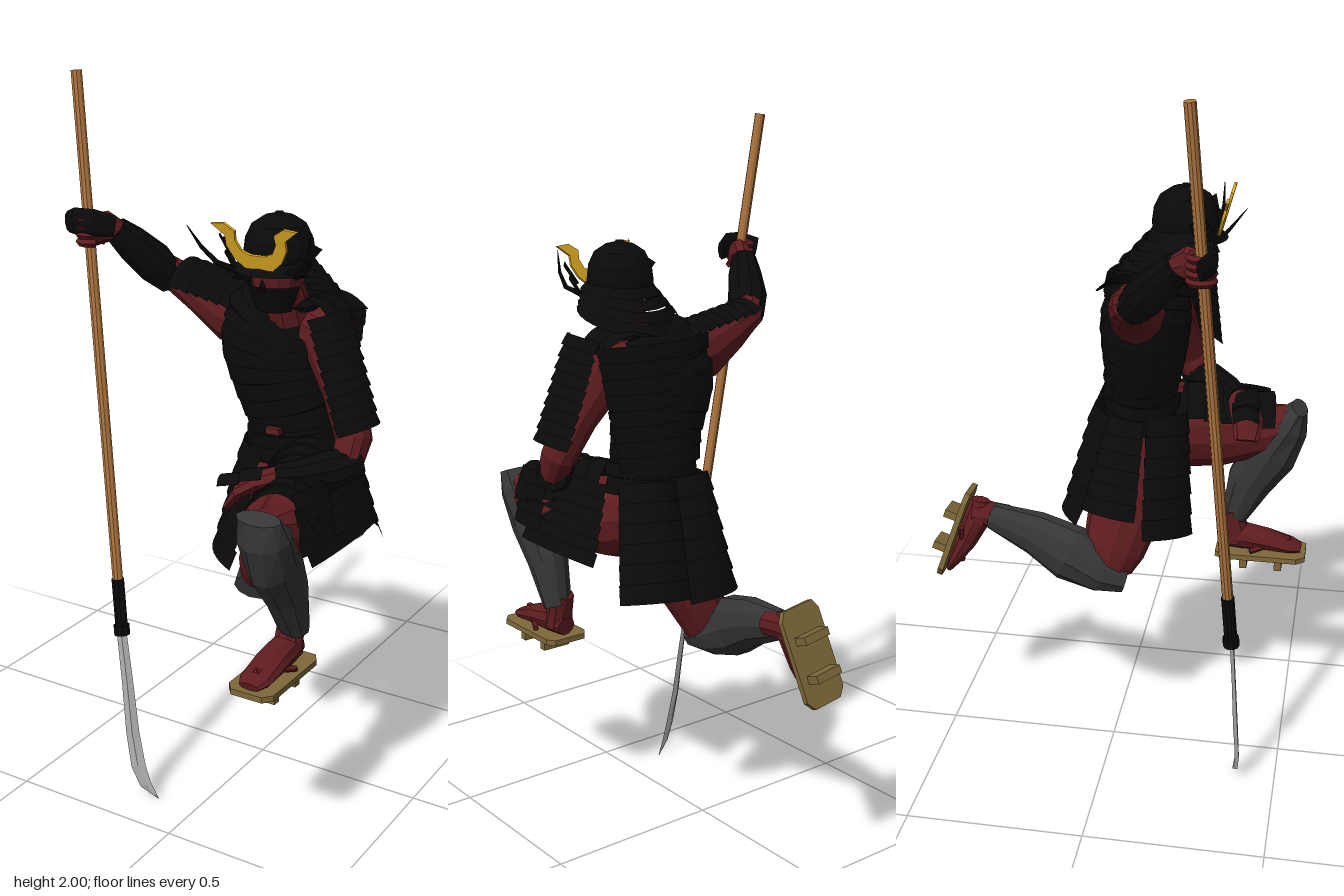
import * as THREE from 'three';

const mat = (color) => new THREE.MeshStandardMaterial({ color, flatShading: true, side: THREE.DoubleSide });
const BLACK = mat(0x0a0a0a), RED = mat(0x5e1c20), GREY = mat(0x363636), GOLD = mat(0xe0ab22);
const WOOD = mat(0xb0763f), SANDAL = mat(0x80693a), STEEL = mat(0xb0b0b0);
const V = (a) => new THREE.Vector3(...a);

function add(parent, name, geo, material, pos = [0, 0, 0], rot = [0, 0, 0]) {
  const m = new THREE.Mesh(geo, material);
  m.name = name;
  m.position.set(...pos);
  m.rotation.set(...rot);
  parent.add(m);
  return m;
}

function build(pos, idx) {
  const g = new THREE.BufferGeometry();
  g.setAttribute('position', new THREE.Float32BufferAttribute(pos, 3));
  g.setIndex(idx);
  g.computeVertexNormals();
  return g;
}

// Closed loft through elliptical stations [x, y, z, radiusAlongRef, radiusAcross]
function loft(st, segs = 10, ref = [1, 0, 0]) {
  const pos = [], idx = [], n = st.length, c = st.map((s) => V(s.slice(0, 3)));
  for (let i = 0; i < n; i++) {
    const t = c[Math.min(i + 1, n - 1)].clone().sub(c[Math.max(i - 1, 0)]).normalize();
    const u = V(ref).addScaledVector(t, -V(ref).dot(t)).normalize();
    const v = t.clone().cross(u);
    for (let j = 0; j < segs; j++) {
      const a = (j / segs) * Math.PI * 2;
      const p = c[i].clone().addScaledVector(u, st[i][3] * Math.cos(a)).addScaledVector(v, (st[i][4] ?? st[i][3]) * Math.sin(a));
      pos.push(p.x, p.y, p.z);
    }
  }
  pos.push(...c[0].toArray(), ...c[n - 1].toArray());
  for (let j = 0; j < segs; j++) {
    const k = (j + 1) % segs, e = (n - 1) * segs;
    for (let i = 0; i < n - 1; i++) {
      const a = i * segs + j, b = i * segs + k;
      idx.push(a, b, b + segs, a, b + segs, a + segs);
    }
    idx.push(n * segs, k, j, n * segs + 1, e + j, e + k);
  }
  return build(pos, idx);
}

// Resample stations into overlapping tiers, each lower edge a little wider
function tiers(st, n, flare = 1.03) {
  const at = (t) => {
    const f = Math.min(t, 0.9999) * (st.length - 1), i = Math.floor(f);
    return st[i].map((a, k) => a + (st[i + 1][k] - a) * (f - i));
  };
  const out = [];
  for (let k = 0; k < n; k++) {
    [[k / n, flare], [(k + 0.97) / n, 1]].forEach(([t, s]) => {
      const p = at(t);
      out.push([p[0], p[1], p[2], p[3] * s, p[4] * s]);
    });
  }
  return out;
}

// Curved lamellar plate from a to b, rows stepped like overlapping slats
function lamellae(a, b, wa, wb, out, bulge, rows) {
  const A = V(a), d = V(b).sub(A), o = V(out);
  o.addScaledVector(d, -o.dot(d) / d.lengthSq()).normalize();
  const side = d.clone().normalize().cross(o), pos = [], idx = [], N = 8;
  for (let r = 0; r < rows * 2; r++) {
    const t = Math.ceil(r / 2) / rows;
    for (let j = 0; j <= N; j++) {
      const s = (j / N) * 2 - 1;
      const p = A.clone().addScaledVector(d, t).addScaledVector(side, (s * (wa + (wb - wa) * t)) / 2)
        .addScaledVector(o, bulge * (1 - s * s) + (r % 2) * 0.008);
      pos.push(p.x, p.y, p.z);
      if (r && j) {
        const q = r * (N + 1) + j;
        idx.push(q - N - 2, q - 1, q, q - N - 2, q, q - N - 1);
      }
    }
  }
  return build(pos, idx);
}

function rod(parent, name, a, b, r, material) {
  const d = V(b).sub(V(a));
  const m = add(parent, name, new THREE.CylinderGeometry(r, r, d.length(), 10), material);
  m.position.copy(V(a)).addScaledVector(d, 0.5);
  m.quaternion.setFromUnitVectors(new THREE.Vector3(0, 1, 0), d.normalize());
}

// Foot on a raised wooden sandal, toes towards +z
function foot(name) {
  const g = new THREE.Group();
  g.name = name;
  const s = new THREE.Shape([[-0.05, -0.135], [0.05, -0.135], [0.066, -0.11], [0.066, 0.11], [0.045, 0.135], [-0.045, 0.135], [-0.066, 0.11], [-0.066, -0.11]].map((p) => new THREE.Vector2(...p)));
  const sole = new THREE.ExtrudeGeometry(s, { depth: 0.016, bevelEnabled: false }).rotateX(Math.PI / 2);
  add(g, 'sandalSole', sole, SANDAL, [0, 0.008, 0]);
  for (const z of [-0.05, 0.055]) add(g, 'sandalTooth', new THREE.BoxGeometry(0.085, 0.042, 0.022), SANDAL, [0, -0.026, z]);
  add(g, 'footSock', loft([[0, 0.035, -0.115, 0.028, 0.028], [0, 0.045, -0.06, 0.042, 0.042], [0, 0.037, 0.02, 0.046, 0.032], [0, 0.024, 0.09, 0.045, 0.018], [0, 0.018, 0.12, 0.03, 0.01]]), RED);
  add(g, 'ankle', loft([[0, 0.13, -0.095, 0.036, 0.036], [0, 0.085, -0.085, 0.037, 0.037], [0, 0.03, -0.07, 0.04, 0.045]]), RED);
  for (const x of [-1, 1]) rod(g, 'sandalStrap', [x * 0.05, 0.015, -0.03], [0, 0.045, 0.085], 0.008, RED);
  return g;
}

function polearm() {
  const g = new THREE.Group();
  g.name = 'polearm';
  const top = V([-0.41, 1.998, 0.246]), low = V([-0.235, 0.5, 0.368]);
  const at = (t) => top.clone().lerp(low, t).toArray();
  rod(g, 'shaft', at(0), at(1), 0.015, WOOD);
  rod(g, 'shaftGrip', at(0.9), at(1), 0.018, BLACK);
  rod(g, 'guard', at(0.988), at(1.006), 0.023, BLACK);
  add(g, 'blade', loft([[-0.235, 0.5, 0.37, 0.014, 0.006], [-0.215, 0.36, 0.378, 0.016, 0.006], [-0.196, 0.2, 0.386, 0.019, 0.007], [-0.176, 0.1, 0.391, 0.021, 0.006], [-0.155, 0.045, 0.388, 0.017, 0.004], [-0.12, 0.003, 0.376, 0.001, 0.001]], 4, [1, 0, -0.4]), STEEL);
  return g;
}

// Helmet, mask and head
function helmetedHead() {
  const g = new THREE.Group();
  g.name = 'head';
  g.position.set(0.15, 0, 0.17);
  add(g, 'neck', loft([[0, 1.4, -0.05, 0.065], [0, 1.5, -0.01, 0.055]]), RED);
  add(g, 'face', loft([[0, 1.435, 0.03, 0.035, 0.035], [0, 1.46, 0.015, 0.055, 0.06], [0, 1.51, 0.005, 0.066, 0.073], [0, 1.57, 0, 0.066, 0.072]], 12), RED);
  add(g, 'faceMask', new THREE.CylinderGeometry(0.077, 0.05, 0.07, 10, 1, true, -1.4, 2.8), BLACK, [0, 1.465, 0.014]);
  add(g, 'maskNose', new THREE.ConeGeometry(0.014, 0.03, 4), BLACK, [0, 1.505, 0.083]);
  const dome = [[0.09, 0], [0.092, 0.02], [0.087, 0.06], [0.07, 0.095], [0.038, 0.116], [0.014, 0.121], [0.01, 0.126], [0, 0.127]];
  add(g, 'helmetBowl', new THREE.LatheGeometry(dome.map((p) => new THREE.Vector2(...p)), 16), BLACK, [0, 1.55, 0]);
  add(g, 'visor', new THREE.CylinderGeometry(0.088, 0.118, 0.03, 12, 1, true, -1.2, 2.4), BLACK, [0, 1.546, 0]);
  // Neck guard flaring out and back, open at the face
  for (let i = 0; i < 4; i++) {
    const r = 0.088 + i * 0.012;
    add(g, 'neckGuardRow', new THREE.CylinderGeometry(r, r + 0.02, 0.026, 20, 1, true, 0.9, Math.PI * 2 - 1.8), BLACK, [0, 1.552 - i * 0.021, -0.015 * i], [-0.1 - i * 0.06, 0, 0]);
  }
  for (const s of [-1, 1]) {
    add(g, 'turnedBackPlate', lamellae([s * 0.08, 1.535, 0.07], [s * 0.13, 1.615, 0.045], 0.06, 0.045, [s, -0.4, 0.4], 0.01, 2), BLACK);
  }
  // Gold crescent crest, half outline mirrored
  const half = [[0.04, -0.012], [0.068, 0.012], [0.086, 0.045], [0.086, 0.072], [0.122, 0.1], [0.085, 0.104], [0.056, 0.085], [0.058, 0.06], [0.045, 0.035], [0.02, 0.025]];
  const outline = [...half, ...half.map(([x, y]) => [-x, y]).reverse()];
  const crest = new THREE.ExtrudeGeometry(new THREE.Shape(outline.map((p) => new THREE.Vector2(...p))), { depth: 0.008, bevelEnabled: false });
  add(g, 'crest', crest, GOLD, [0, 1.56, 0.095], [0.25, 0, 0]);
  // Slender horns
  add(g, 'rightHorn', loft([[-0.085, 1.53, 0.065, 0.008], [-0.125, 1.55, 0.095, 0.007], [-0.145, 1.595, 0.135, 0.005], [-0.157, 1.655, 0.18, 0.001]], 6), BLACK);
  add(g, 'leftHorn', loft([[0.085, 1.53, 0.065, 0.008], [0.12, 1.55, 0.085, 0.007], [0.135, 1.59, 0.09, 0.005], [0.14, 1.65, 0.09, 0.001]], 6), BLACK);
  return g;
}

function torso() {
  const g = new THREE.Group();
  g.name = 'torso';
  const st = [[0.14, 1.0, 0.055, 0.135, 0.1], [0.13, 1.1, 0.06, 0.12, 0.1], [0.105, 1.2, 0.068, 0.138, 0.115], [0.09, 1.3, 0.072, 0.163, 0.125], [0.11, 1.38, 0.08, 0.16, 0.115], [0.135, 1.445, 0.09, 0.095, 0.085]];
  add(g, 'cuirass', loft(tiers(st, 11), 18), BLACK);
  add(g, 'backPlate', lamellae([0.155, 1.425, 0.015], [0.14, 1.08, 0.01], 0.35, 0.25, [0.1, 0, -1], 0.055, 8), BLACK);
  add(g, 'leftShoulderStrap', lamellae([0.245, 1.425, -0.01], [0.225, 1.425, 0.15], 0.15, 0.11, [0.2, 1, 0], 0.022, 3), BLACK);
  add(g, 'collar', new THREE.TorusGeometry(0.07, 0.018, 6, 14), BLACK, [0.145, 1.435, 0.105], [Math.PI / 2, 0, 0]);
  add(g, 'belt', loft([[0.135, 1.05, 0.057, 0.137, 0.11], [0.132, 1.085, 0.06, 0.132, 0.108]], 18), BLACK);
  add(g, 'beltKnot', new THREE.BoxGeometry(0.04, 0.018, 0.02), RED, [0.135, 1.095, 0.168]);
  add(g, 'pelvis', loft([[0.15, 0.86, 0.03, 0.1, 0.085], [0.145, 0.94, 0.04, 0.13, 0.09], [0.14, 1.03, 0.05, 0.12, 0.085]], 12), RED);
  // Skirt plates: top, bottom, widths, outward direction, bulge
  const skirt = [
    ['rightFrontSkirt', [0.06, 1.04, 0.14], [-0.03, 0.7, 0.155], 0.15, 0.18, [-0.75, 0, 0.75], 0.025],
    ['rightSideSkirt', [0.015, 1.04, 0.02], [-0.04, 0.76, -0.01], 0.14, 0.17, [-1, 0, -0.3], 0.02],
    ['backRightSkirt', [0.07, 1.05, -0.025], [0.055, 0.72, -0.115], 0.16, 0.2, [-0.2, 0, -1], 0.042],
    ['backLeftSkirt', [0.21, 1.05, -0.025], [0.245, 0.74, -0.105], 0.16, 0.2, [0.35, 0, -1], 0.042],
    ['leftThighPlate', [0.21, 1.0, 0.11], [0.285, 0.945, 0.41], 0.2, 0.185, [0.1, 1, 0], 0.085],
    ['leftSideSkirt', [0.3, 1.045, 0.19], [0.358, 0.83, 0.19], 0.32, 0.36, [1, 0.3, 0], 0.012],
  ];
  for (const [name, a, b, wa, wb, out, bulge] of skirt) add(g, name, lamellae(a, b, wa, wb, out, bulge, 6), BLACK);
  // Outer front corner of the thigh armour
  add(g, 'leftThighCorner', lamellae([0.335, 1.035, 0.335], [0.362, 0.875, 0.335], 0.15, 0.155, [1, 0.2, 0.1], 0.01, 4), BLACK);
  return g;
}

function arms() {
  const g = new THREE.Group();
  g.name = 'arms';
  const up = [0, 1, 0];
  // Raised right arm
  add(g, 'rightUpperArm', loft([[0.06, 1.35, 0.07, 0.085, 0.08], [-0.05, 1.37, 0.068, 0.085, 0.075], [-0.15, 1.415, 0.07, 0.06, 0.06], [-0.225, 1.45, 0.08, 0.046, 0.046], [-0.27, 1.49, 0.12, 0.04, 0.04]], 12, up), RED);
  add(g, 'rightShoulderPlate', lamellae([0.05, 1.405, 0.065], [-0.205, 1.453, 0.07], 0.18, 0.17, [0, 1, 0.2], 0.04, 8), BLACK);
  add(g, 'rightBracer', loft([[-0.235, 1.44, 0.085, 0.044], [-0.265, 1.49, 0.125, 0.056], [-0.3, 1.55, 0.18, 0.048], [-0.325, 1.59, 0.215, 0.036]], 10), BLACK);
  add(g, 'rightHand', loft([[-0.32, 1.585, 0.21, 0.03, 0.03], [-0.335, 1.6, 0.24, 0.042, 0.025], [-0.35, 1.595, 0.275, 0.042, 0.03], [-0.385, 1.59, 0.285, 0.03, 0.02]], 8, up), RED);
  for (let i = 0; i < 4; i++) add(g, 'rightFinger', new THREE.TorusGeometry(0.03, 0.011, 5, 10, 5), RED, [-0.366 + i * 0.002, 1.625 - i * 0.02, 0.276], [Math.PI / 2, 0, 0.6]);
  add(g, 'rightHandPlate', loft([[-0.285, 1.61, 0.27, 0.028, 0.01], [-0.33, 1.62, 0.3, 0.036, 0.012], [-0.385, 1.62, 0.306, 0.036, 0.012], [-0.43, 1.61, 0.28, 0.028, 0.01]], 8, up), BLACK);
  // Left arm resting across the raised knee
  add(g, 'leftUpperArm', loft([[0.16, 1.375, 0.08, 0.065, 0.07], [0.255, 1.35, 0.092, 0.075, 0.076], [0.322, 1.22, 0.132, 0.054, 0.06], [0.368, 1.11, 0.162, 0.047, 0.052], [0.365, 1.055, 0.195, 0.042, 0.042]], 12), RED);
  add(g, 'leftShoulderPlate', lamellae([0.28, 1.425, 0.15], [0.378, 1.14, 0.168], 0.18, 0.185, [0.9, 0.4, 0.1], 0.045, 9), BLACK);
  add(g, 'leftBracer', loft([[0.385, 1.06, 0.17, 0.044], [0.34, 1.045, 0.225, 0.052], [0.28, 1.035, 0.29, 0.044], [0.23, 1.035, 0.325, 0.034]], 10, up), BLACK);
  add(g, 'leftHand', loft([[0.24, 1.035, 0.32, 0.03, 0.03], [0.19, 1.025, 0.345, 0.022, 0.045], [0.15, 0.995, 0.36, 0.02, 0.045], [0.12, 0.95, 0.36, 0.012, 0.035]], 8, up), RED);
  add(g, 'leftHandPlate', lamellae([0.22, 1.045, 0.345], [0.1, 1.0, 0.36], 0.08, 0.075, up, 0.02, 2), BLACK);
  return g;
}

function legs() {
  const g = new THREE.Group();
  g.name = 'legs';
  // Raised left leg
  add(g, 'leftThigh', loft([[0.18, 0.95, 0.01, 0.09, 0.1], [0.22, 0.925, 0.12, 0.1, 0.115], [0.265, 0.91, 0.28, 0.086, 0.1], [0.285, 0.92, 0.4, 0.07, 0.078], [0.285, 0.955, 0.485, 0.056, 0.047]], 12), RED);
  add(g, 'leftShinGuard', loft([[0.287, 0.995, 0.5, 0.064, 0.026], [0.287, 0.94, 0.473, 0.074, 0.06], [0.285, 0.85, 0.42, 0.067, 0.084], [0.285, 0.75, 0.362, 0.055, 0.07], [0.285, 0.62, 0.315, 0.042, 0.037]], 10), GREY);
  const left = foot('leftFoot');
  left.position.set(0.275, 0.527, 0.405);
  // Kneeling right leg
  add(g, 'rightThigh', loft([[0.1, 0.97, 0.03, 0.095, 0.09], [0.08, 0.86, 0.06, 0.092, 0.125], [0.045, 0.72, 0.02, 0.078, 0.105], [0.005, 0.63, -0.002, 0.07, 0.09], [-0.01, 0.58, -0.015, 0.062, 0.07]], 12), RED);
  add(g, 'rightShinGuard', loft([[-0.012, 0.552, 0.035, 0.06, 0.042], [-0.02, 0.572, -0.03, 0.072, 0.065], [-0.02, 0.62, -0.125, 0.068, 0.087], [-0.002, 0.665, -0.23, 0.055, 0.067], [0.018, 0.7, -0.365, 0.036, 0.04]], 10), GREY);
  const right = foot('rightFoot');
  right.position.set(0.014, 0.648, -0.472);
  right.rotation.set(1.904, -0.13, 0);
  g.add(left, right);
  return g;
}

export function createModel() {
  const model = new THREE.Group();
  model.name = 'kneelingWarrior';
  model.add(polearm(), helmetedHead(), torso(), arms(), legs());
  return model;
}
